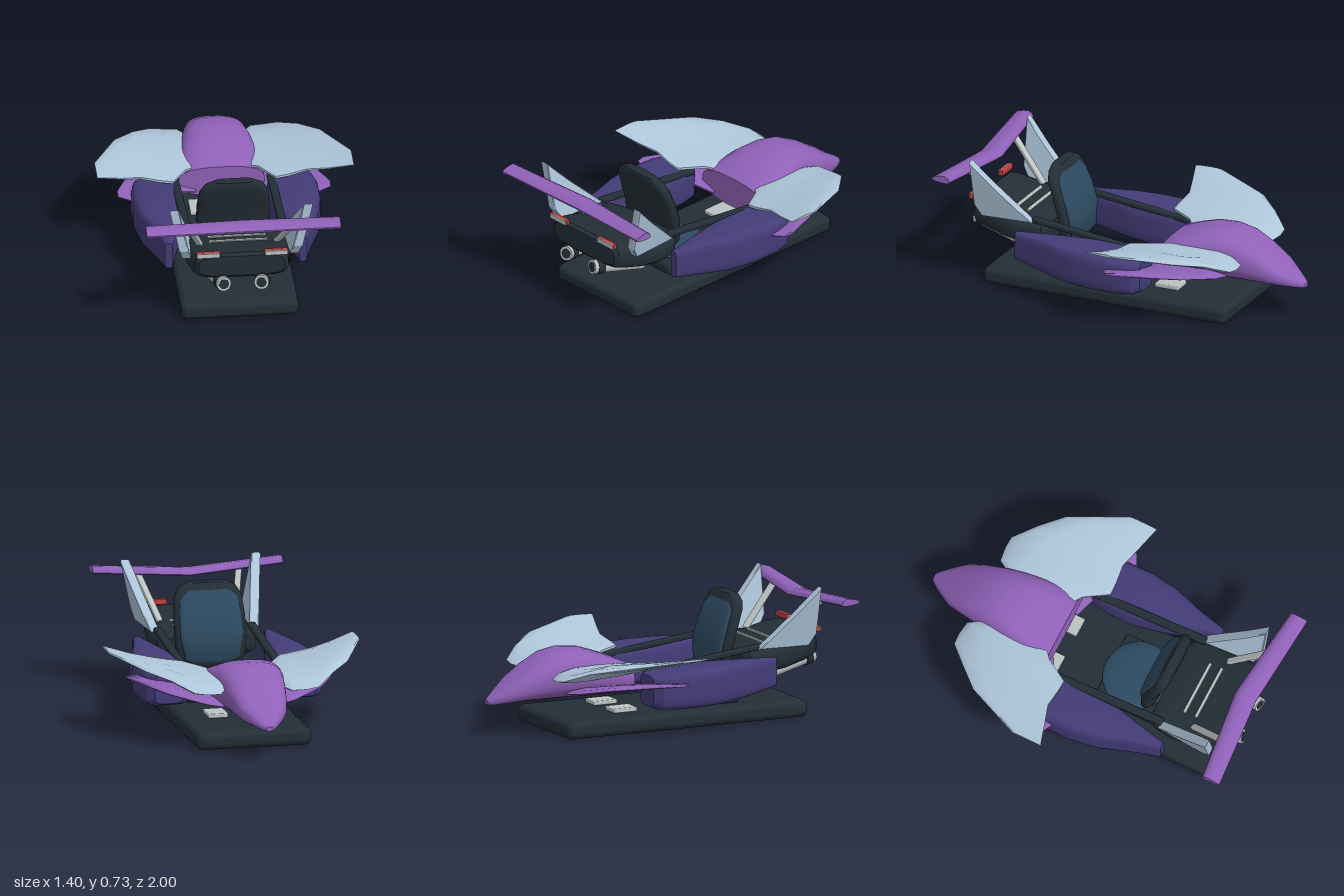
import * as THREE from 'three';
import { toCreasedNormals } from 'three/addons/utils/BufferGeometryUtils.js';
import { RoundedBoxGeometry } from 'three/addons/geometries/RoundedBoxGeometry.js';

const mat = (name, color) => new THREE.MeshStandardMaterial({ name, color });
const M = {
  purple: mat('purple', 0x8f61b8),
  indigo: mat('indigo', 0x443c78),
  blue: mat('pale blue', 0xaec6da),
  dark: mat('charcoal', 0x232e36),
  teal: mat('seat teal', 0x2d4a61),
  grey: mat('light grey', 0xbcc2c2),
  red: mat('red', 0xc0413f),
};

// Rounded-square outline in the unit square
function outline(n, count = 28) {
  const f = (c) => Math.sign(c) * Math.pow(Math.abs(c), 2 / n);
  return Array.from({ length: count }, (_, i) => {
    const a = ((i + 0.5) / count) * Math.PI * 2;
    return [f(Math.cos(a)), f(Math.sin(a))];
  });
}

// Closed skin over rings of points; turned outward by its signed volume
function loft(rings, crease = 0.55) {
  const n = rings[0].length, pos = rings.flat(2), idx = [];
  rings.forEach((ring, r) => {
    if (r === rings.length - 1) return;
    for (let i = 0; i < n; i++) {
      const a = r * n + i, b = r * n + ((i + 1) % n);
      idx.push(a, b, b + n, a, b + n, a + n);
    }
  });
  [0, rings.length - 1].forEach((r) => {
    const c = pos.length / 3;
    for (let k = 0; k < 3; k++) pos.push(rings[r].reduce((s, p) => s + p[k], 0) / n);
    for (let i = 0; i < n; i++) {
      const a = r * n + i, b = r * n + ((i + 1) % n);
      if (r === 0) idx.push(c, b, a); else idx.push(c, a, b);
    }
  });
  const at = (i) => new THREE.Vector3().fromArray(pos, i * 3);
  let volume = 0;
  for (let i = 0; i < idx.length; i += 3) volume += at(idx[i]).dot(at(idx[i + 1]).cross(at(idx[i + 2])));
  if (volume < 0) idx.reverse();
  const g = new THREE.BufferGeometry();
  g.setAttribute('position', new THREE.Float32BufferAttribute(pos, 3));
  g.setIndex(idx);
  return toCreasedNormals(g, crease);
}

// Body sections along z: [z, x0, x1, y0, y1]
const hull = (rows, n, s = 1) => loft(rows.map(([z, x0, x1, y0, y1]) =>
  outline(n).map(([u, v]) => [s * ((x0 + x1) / 2 + u * (x1 - x0) / 2), (y0 + y1) / 2 + v * (y1 - y0) / 2, z])));

// Wing sections along x: [x, frontZ, frontY, backZ, backY, thickness]
const FOIL = [[0, 0], [0.06, 0.6], [0.25, 1], [0.55, 0.85], [0.9, 0.45], [1, 0.15],
  [1, -0.15], [0.9, -0.3], [0.55, -0.4], [0.25, -0.4], [0.06, -0.25]];
const wing = (rows, s = 1) => loft(rows.map(([x, z0, y0, z1, y1, t]) =>
  FOIL.map(([c, h]) => [s * x, y0 + (y1 - y0) * c + h * t / 1.4, z0 + (z1 - z0) * c])), 0.7);

// Upright cushion sections: [y, halfWidth, centreZ, halfDepth]
const upright = (rows) => loft(rows.map(([y, w, z, d]) => outline(3.2).map(([u, v]) => [u * w, y, z + v * d])), 0.8);

export function createModel() {
  const model = new THREE.Group();
  model.name = 'hoverRacer';
  const add = (name, geometry, material, x = 0, y = 0, z = 0) => {
    const m = new THREE.Mesh(geometry, material);
    m.name = name;
    m.position.set(x, y, z);
    model.add(m);
    return m;
  };
  const block = (name, material, w, h, d, x, y, z, r = 0.01) =>
    add(name, new RoundedBoxGeometry(w, h, d, 3, r), material, x, y, z);
  // Beam or tube laid between two points
  const span = (name, material, a, b, make) => {
    const p = new THREE.Vector3(...a), q = new THREE.Vector3(...b);
    const m = add(name, make(p.distanceTo(q)), material);
    m.position.copy(p).lerp(q, 0.5);
    m.lookAt(q);
    return m;
  };
  const tube = (r) => (len) => new THREE.CylinderGeometry(r, r, len, 20).rotateX(Math.PI / 2);

  // Base and seat
  block('basePlatform', M.dark, 0.64, 0.095, 1.46, 0, 0.0475, 0.07, 0.035);
  block('seatBase', M.dark, 0.4, 0.07, 0.37, 0, 0.118, 0.255, 0.025);
  const cushion = add('seatCushion', new THREE.SphereGeometry(1, 32, 16), M.teal, 0, 0.148, 0.235);
  cushion.scale.set(0.2, 0.036, 0.19);
  add('seatBackShell', upright([[0.22, 0.12, 0.375, 0.025], [0.235, 0.16, 0.375, 0.036], [0.28, 0.19, 0.372, 0.042],
    [0.4, 0.2, 0.38, 0.044], [0.5, 0.198, 0.41, 0.044], [0.6, 0.187, 0.445, 0.042],
    [0.645, 0.16, 0.458, 0.038], [0.672, 0.11, 0.465, 0.028]]), M.dark);
  add('seatBackPad', upright([[0.25, 0.11, 0.345, 0.012], [0.27, 0.15, 0.342, 0.02], [0.4, 0.175, 0.348, 0.023],
    [0.5, 0.172, 0.378, 0.023], [0.59, 0.16, 0.412, 0.022], [0.635, 0.12, 0.43, 0.014]]), M.teal);

  // Nose cowl
  add('noseCowl', hull([[-0.215, -0.236, 0.236, 0.19, 0.365], [-0.3, -0.228, 0.228, 0.19, 0.4],
    [-0.42, -0.21, 0.21, 0.187, 0.44], [-0.54, -0.19, 0.19, 0.187, 0.452], [-0.64, -0.172, 0.172, 0.187, 0.435],
    [-0.75, -0.153, 0.153, 0.187, 0.378], [-0.85, -0.128, 0.128, 0.183, 0.31], [-0.93, -0.078, 0.078, 0.177, 0.25],
    [-0.985, -0.036, 0.036, 0.172, 0.212], [-1, -0.02, 0.02, 0.175, 0.2]], 2.7), M.purple);

  // Engine housing with vents
  add('engineHousing', hull([[0.44, -0.23, 0.23, 0.27, 0.38], [0.47, -0.275, 0.275, 0.25, 0.395],
    [0.58, -0.29, 0.29, 0.24, 0.4], [0.7, -0.28, 0.28, 0.255, 0.42], [0.82, -0.265, 0.265, 0.285, 0.455],
    [0.87, -0.255, 0.255, 0.305, 0.458], [0.89, -0.235, 0.235, 0.325, 0.445]], 4), M.dark);
  [[0.6, 0.404], [0.67, 0.416]].forEach(([z, y]) => block('engineVent', M.grey, 0.32, 0.014, 0.018, 0, y, z, 0.004));

  // Rear spoiler, a shallow V
  add('rearSpoiler', wing([-0.53, 0, 0.53].map((x) => {
    const e = Math.abs(x) / 0.53;
    return [x, 0.83 + 0.065 * e, 0.622 + 0.026 * e, 0.955 + 0.045 * e, 0.63 + 0.026 * e, 0.042];
  })), M.purple);

  for (const s of [1, -1]) {
    const side = s > 0 ? 'left' : 'right';
    // Front wing, lower fin and side pod
    add(side + 'FrontWing', wing([[0.15, -0.62, 0.335, -0.24, 0.35, 0.04], [0.2, -0.7, 0.322, -0.2, 0.36, 0.06],
      [0.28, -0.71, 0.325, -0.07, 0.365, 0.065], [0.345, -0.705, 0.335, -0.07, 0.375, 0.065],
      [0.45, -0.6, 0.385, -0.08, 0.398, 0.05], [0.56, -0.48, 0.415, -0.045, 0.42, 0.035],
      [0.7, -0.17, 0.455, 0, 0.46, 0.014]], s), M.blue);
    add(side + 'LowerFin', wing([[0.14, -0.6, 0.222, -0.2, 0.225, 0.035], [0.24, -0.57, 0.235, -0.16, 0.25, 0.04],
      [0.42, -0.46, 0.275, -0.07, 0.28, 0.035], [0.5, -0.32, 0.288, -0.02, 0.288, 0.028],
      [0.58, -0.12, 0.298, -0.06, 0.298, 0.016]], s), M.purple);
    add(side + 'SidePod', hull([[-0.21, 0.29, 0.45, 0.165, 0.335], [-0.17, 0.25, 0.49, 0.15, 0.345],
      [-0.08, 0.232, 0.51, 0.145, 0.355], [0.08, 0.23, 0.51, 0.145, 0.362], [0.24, 0.265, 0.485, 0.152, 0.365],
      [0.4, 0.305, 0.43, 0.172, 0.365], [0.57, 0.345, 0.388, 0.205, 0.36]], 5, s), M.indigo);

    // Cockpit rail and pedal
    span(side + 'Rail', M.dark, [s * 0.262, 0.405, 0.52], [s * 0.262, 0.325, -0.17],
      (len) => new RoundedBoxGeometry(0.045, 0.03, len, 3, 0.01));
    block(side + 'Pedal', M.grey, 0.11, 0.025, 0.14, s * 0.12, 0.107, -0.24, 0.006);

    // Tail fin: a blade leaning outward
    const blade = [[0.845, 0.725], [0.715, 0.59], [0.51, 0.395], [0.8, 0.395], [0.84, 0.46]];
    const lean = (y) => 0.29 + (y - 0.395) * 0.2;
    add(side + 'TailFin', loft([-0.026, -0.02, 0.02, 0.026].map((t) => {
      const k = Math.abs(t) > 0.022 ? 0.96 : 1;
      return blade.map(([z, y]) => [s * (lean(y) + t + (z - 0.7) * 0.06),
        0.5 + (y - 0.5) * k, 0.74 + (z - 0.74) * k]);
    }), 0.3), M.blue);

    // Spoiler strut
    span(side + 'SpoilerStrut', M.grey, [s * 0.21, 0.41, 0.68], [s * 0.285, 0.64, 0.9],
      (len) => new RoundedBoxGeometry(0.035, 0.025, len, 2, 0.006));

    // Exhaust pipe with collar and nozzle
    const from = [s * 0.17, 0.235, 0.62], to = [s * 0.102, 0.297, 0.93];
    const along = (t) => from.map((v, i) => v + (to[i] - v) * t);
    span(side + 'ExhaustPipe', M.grey, from, along(0.84), tube(0.036));
    span(side + 'ExhaustCollar', M.dark, along(0.8), along(0.93), tube(0.043));
    span(side + 'ExhaustNozzle', M.grey, along(0.93), to, tube(0.04));
    span(side + 'ExhaustOpening', M.dark, along(0.99), along(1.005), tube(0.028));

    // Tail lamp
    block(side + 'TailLamp', M.red, 0.13, 0.03, 0.024, s * 0.185, 0.467, 0.896, 0.004);
    block(side + 'TailLampCover', M.grey, 0.122, 0.028, 0.008, s * 0.185, 0.467, 0.909, 0.002);
  }
  return model;
}
